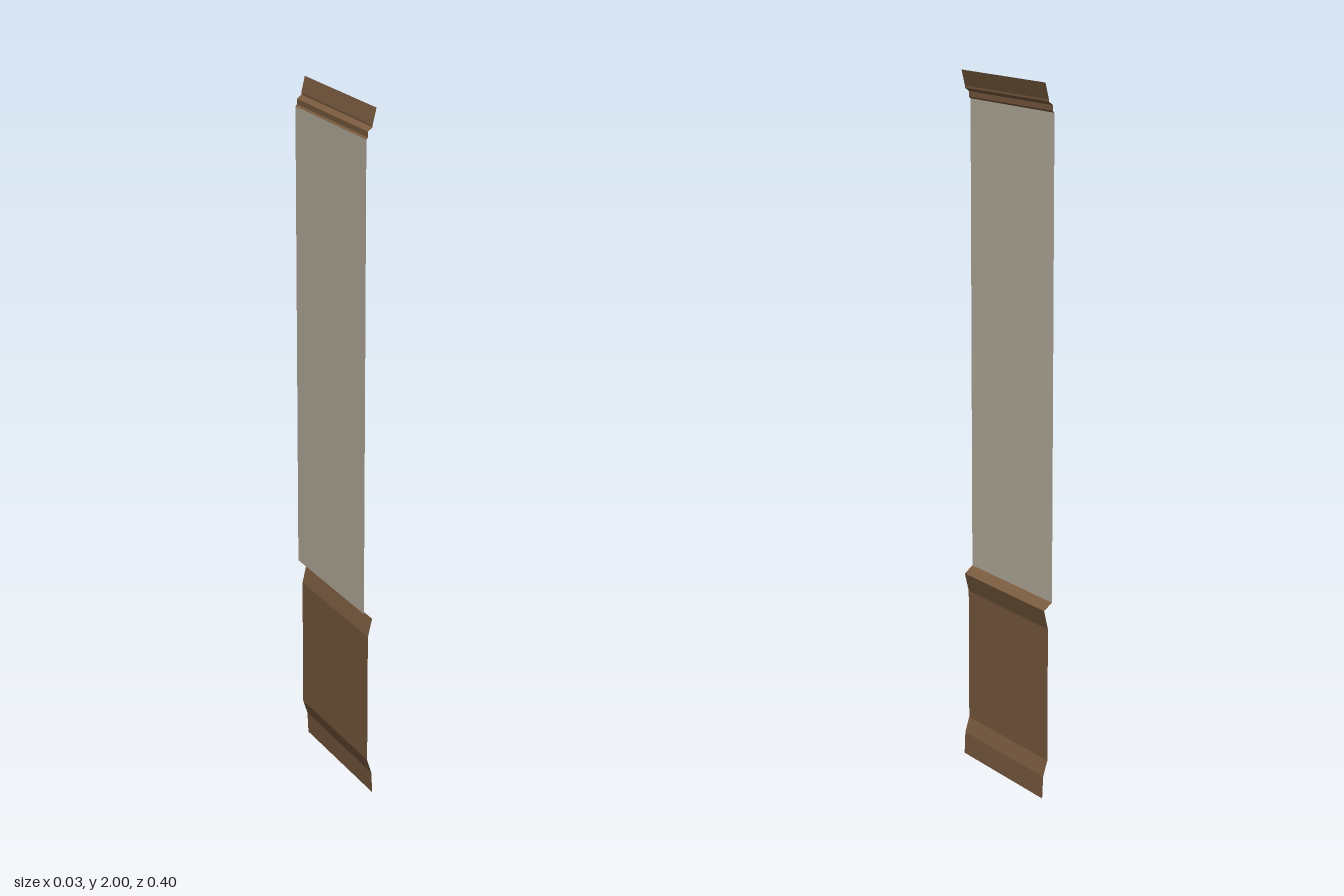
import * as THREE from 'three';

const HALF = 0.2; // half the panel width along z

// Sweeps an open [x, y] profile (bottom to top) along z, with crisp folds; faces +x.
function sheet(name, profile, material) {
  const pos = [];
  for (let i = 0; i < profile.length - 1; i++) {
    const [ax, ay] = profile[i];
    const [bx, by] = profile[i + 1];
    pos.push(
      ax, ay, HALF, ax, ay, -HALF, bx, by, -HALF,
      ax, ay, HALF, bx, by, -HALF, bx, by, HALF
    );
  }
  const geometry = new THREE.BufferGeometry();
  geometry.setAttribute('position', new THREE.Float32BufferAttribute(pos, 3));
  geometry.computeVertexNormals();
  const mesh = new THREE.Mesh(geometry, material);
  mesh.name = name;
  return mesh;
}

export function createModel() {
  const wood = new THREE.MeshStandardMaterial({ color: 0x7f5f42 });
  const plaster = new THREE.MeshStandardMaterial({ color: 0xc2b8a8 });
  wood.name = 'brown wood';
  plaster.name = 'pale plaster';
  for (const m of [wood, plaster]) {
    m.side = THREE.DoubleSide;
    m.flatShading = true;
  }

  const group = new THREE.Group();
  group.name = 'wallPanel';
  group.add(
    // Skirting with a sloped top edge
    sheet('skirting', [[0.015, 0], [0.012, 0.065], [-0.002, 0.11]], wood),
    // Flat wooden lower wall
    sheet('wainscot', [[-0.002, 0.11], [-0.002, 0.5]], wood),
    // Rail flaring outward, then folding back to the wall
    sheet('chairRail', [[-0.002, 0.5], [0.011, 0.555], [-0.015, 0.575]], wood),
    // Plain upper wall
    sheet('upperWall', [[-0.015, 0.575], [-0.015, 1.92]], plaster),
    // Stepped moulding at the ceiling
    sheet('crownMoulding', [
      [-0.015, 1.92], [-0.01, 1.925], [-0.01, 1.94],
      [0.003, 1.95], [0.003, 1.956], [0.014, 2],
    ], wood)
  );
  return group;
}
